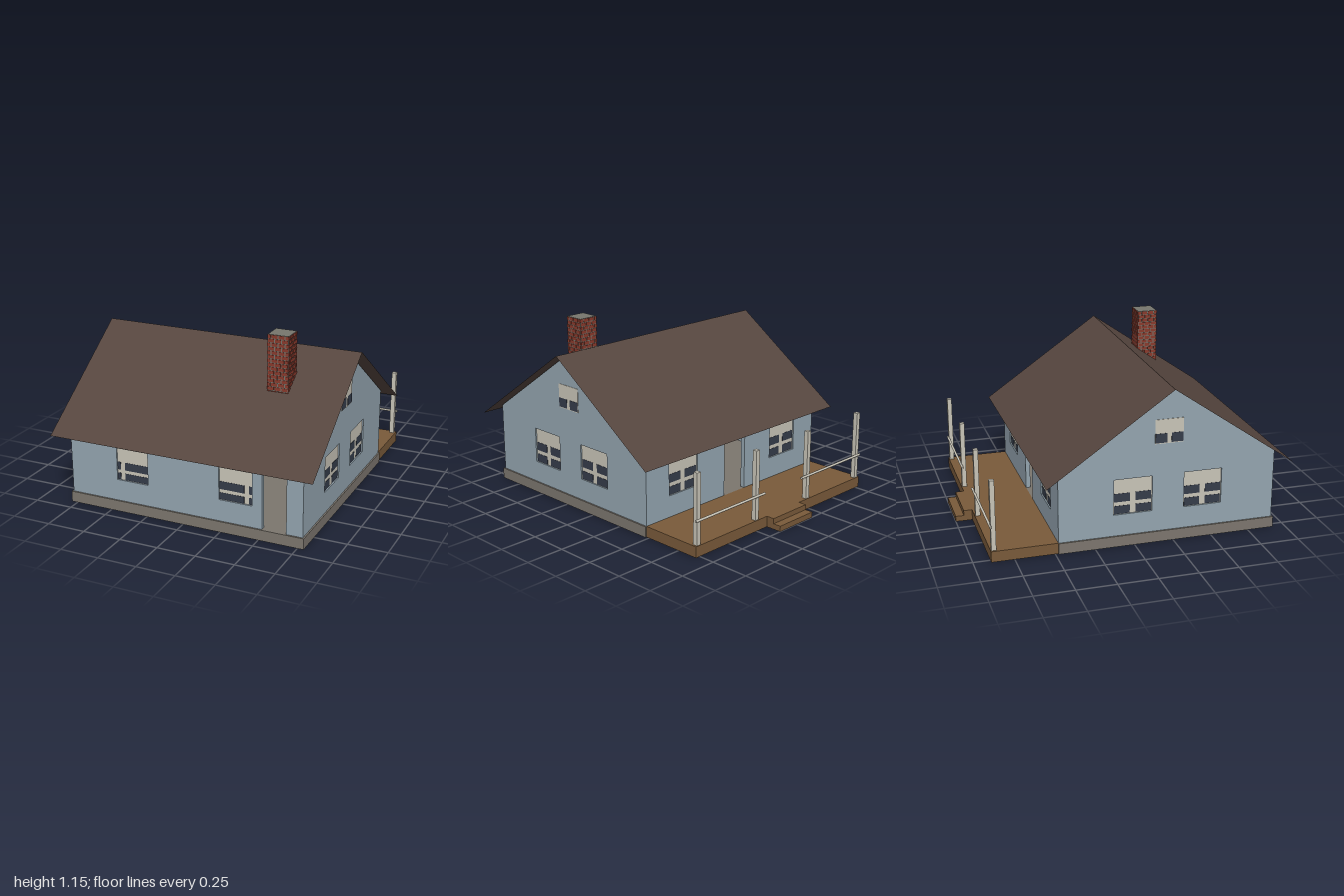
import * as THREE from 'three';

const mat = (name, color, extra = {}) =>
  Object.assign(new THREE.MeshStandardMaterial({ color, ...extra }), { name });

export function createModel() {
  const wallBlue = mat('wall blue', 0x94a5b0);
  const roofBrown = mat('roof brown', 0x56463f, { side: THREE.DoubleSide });
  const stone = mat('foundation grey', 0x7c766e);
  const wood = mat('deck wood', 0x795a3a);
  const trim = mat('trim cream', 0xc9c5b8);
  const glass = mat('glass navy', 0x353c4a);
  const brick = mat('brick red', 0x8a3a2c);
  const mortar = mat('mortar grey', 0x77766e);

  const house = new THREE.Group();
  house.name = 'house';

  // Box given by its lower and upper limits
  function box(parent, name, material, [x0, x1], [y0, y1], [z0, z1]) {
    const m = new THREE.Mesh(new THREE.BoxGeometry(x1 - x0, y1 - y0, z1 - z0), material);
    m.position.set((x0 + x1) / 2, (y0 + y1) / 2, (z0 + z1) / 2);
    m.name = name;
    parent.add(m);
    return m;
  }

  // Foundation slab
  box(house, 'foundation', stone, [-0.79, 0.79], [0, 0.07], [-0.48, 0.92]);

  // Windows: a cream plate with panes [u0, u1, y0, y1], u measured from the window centre
  const T = 0.03;
  const tallPanes = [];
  for (const [y0, y1] of [[0.212, 0.265], [0.29, 0.345]])
    tallPanes.push([-0.118, -0.018, y0, y1], [0.018, 0.118, y0, y1]);
  const frontPanes = (s) => {
    const panes = [];
    for (const [y0, y1] of [[0.212, 0.255], [0.277, 0.328]])
      for (const [a, b] of [[-0.107, 0.055], [0.085, 0.107]])
        panes.push(s > 0 ? [a, b, y0, y1] : [-b, -a, y0, y1]);
    return panes;
  };
  const tall = (u) => ({ u, w: 0.245, y0: 0.21, y1: 0.44, panes: tallPanes });
  const wide = (s) => ({ u: s * 0.3475, w: 0.215, y0: 0.21, y1: 0.42, panes: frontPanes(s) });
  const attic = {
    u: 0, w: 0.18, y0: 0.645, y1: 0.8, flush: true,
    panes: [[-0.088, -0.014, 0.65, 0.71], [0.014, 0.088, 0.65, 0.71]],
  };

  function addWindow(wall, { u, w, y0, y1, panes, flush }) {
    const g = new THREE.Group();
    g.name = 'window';
    g.position.set(u, 0, flush ? 0 : -0.012);
    box(g, 'windowFrame', trim, [-w / 2, w / 2], [y0, y1], [-0.003, 0.003]);
    for (const [a, b, c, d] of panes) box(g, 'windowPane', glass, [a, b], [c, d], [-0.0045, 0.0045]);
    wall.add(g);
  }

  // Wall in its own plane: outer face at local z = 0, u to the right seen from outside
  function addWall(name, outline, windows, position, turn) {
    const shape = new THREE.Shape(outline.map(([u, y]) => new THREE.Vector2(u, y)));
    for (const { u, w, y0, y1, flush } of windows) {
      if (flush) continue;
      const hole = new THREE.Path();
      hole.moveTo(u - w / 2, y0).lineTo(u - w / 2, y1).lineTo(u + w / 2, y1).lineTo(u + w / 2, y0).closePath();
      shape.holes.push(hole);
    }
    const geo = new THREE.ExtrudeGeometry(shape, { depth: T, bevelEnabled: false });
    geo.translate(0, 0, -T);
    const g = new THREE.Group();
    g.name = name;
    const mesh = new THREE.Mesh(geo, wallBlue);
    mesh.name = name + 'Panel';
    g.add(mesh);
    windows.forEach((w) => addWindow(g, w));
    g.position.set(...position);
    g.rotation.y = turn;
    house.add(g);
  }

  // Long walls with an open doorway from u = a to b
  const longOutline = (a, b) => [
    [-0.75, 0.07], [a, 0.07], [a, 0.44], [b, 0.44], [b, 0.07], [0.75, 0.07], [0.75, 0.52], [-0.75, 0.52],
  ];
  addWall('frontWall', longOutline(0.52, 0.675), [wide(-1), wide(1)], [0, 0, 0.91], 0);
  addWall('backWall', longOutline(-0.095, 0.095), [tall(-0.465), tall(0.465)], [0, 0, -0.48], Math.PI);

  // Gable walls
  const gable = [[-0.695, 0.07], [0.695, 0.07], [0.695, 0.52], [0, 1.004], [-0.695, 0.52]];
  for (const [name, s] of [['leftGable', 1], ['rightGable', -1]])
    addWall(name, gable, [tall(-0.225), tall(0.225), attic], [s * 0.78, 0, 0.215], (s * Math.PI) / 2);

  // Roof slopes, thin sheets meeting at the ridge
  const run = 0.785, rise = 0.545, pitch = Math.atan2(rise, run);
  for (const [name, s] of [['frontRoof', 1], ['backRoof', -1]]) {
    const geo = new THREE.PlaneGeometry(1.74, Math.hypot(run, rise));
    geo.rotateX(-Math.PI / 2).rotateX(s * pitch);
    const slope = new THREE.Mesh(geo, roofBrown);
    slope.position.set(0, 1.01 - rise / 2, 0.215 + (s * run) / 2);
    slope.name = name;
    house.add(slope);
  }

  // Chimney: mortar core with staggered brick plates on four sides
  const chimney = new THREE.Group();
  chimney.name = 'chimney';
  chimney.position.set(0.45, 0, 0.458);
  const cw = 0.134, cd = 0.13, rows = 18, y0 = 0.7, rowH = 0.45 / rows;
  box(chimney, 'chimneyCore', mortar, [-cw / 2, cw / 2], [y0, 1.15], [-cd / 2, cd / 2]);
  for (let side = 0; side < 4; side++) {
    const face = new THREE.Group();
    face.name = 'brickFace';
    face.rotation.y = (side * Math.PI) / 2;
    const width = side % 2 ? cd : cw, out = (side % 2 ? cw : cd) / 2;
    const len = width / 3;
    for (let r = 0; r < rows; r++) {
      const y = y0 + r * rowH;
      for (let k = 0; k < 4; k++) {
        const start = -width / 2 + (k - (r % 2) / 2) * len;
        const a = Math.max(start + 0.003, -width / 2), b = Math.min(start + len - 0.003, width / 2);
        if (b - a > 0.005) box(face, 'brick', brick, [a, b], [y + 0.0025, y + rowH - 0.0025], [out, out + 0.003]);
      }
    }
    chimney.add(face);
  }
  house.add(chimney);

  // Deck and steps
  box(house, 'deck', wood, [-0.78, 0.78], [0, 0.07], [-0.893, -0.48]);
  box(house, 'upperStep', wood, [-0.155, 0.155], [0, 0.07], [-0.947, -0.893]);
  box(house, 'lowerStep', wood, [-0.155, 0.155], [0, 0.036], [-1, -0.947]);

  // Porch posts and rails
  for (const s of [-1, 1]) {
    for (const x of [0.243, 0.753])
      box(house, 'porchPost', trim, [s * x - 0.015, s * x + 0.015], [0.07, 0.52], [-0.888, -0.858]);
    const rail = new THREE.Mesh(new THREE.CylinderGeometry(0.008, 0.008, 0.605, 8), trim);
    rail.rotation.z = Math.PI / 2;
    rail.position.set(s * 0.4775, 0.226, -0.889);
    rail.name = 'porchRail';
    house.add(rail);
  }

  return house;
}
